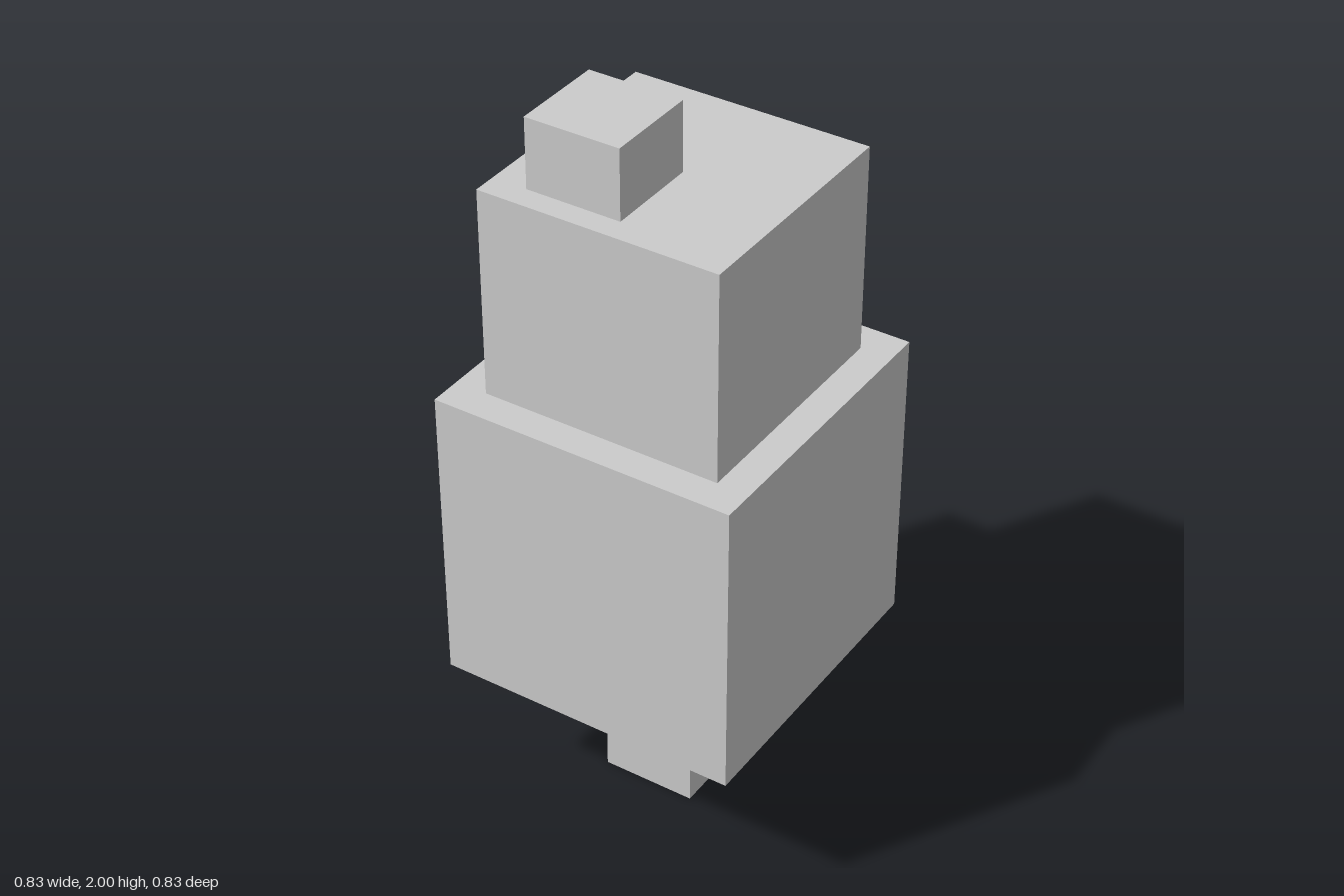
import * as THREE from 'three';

const material = new THREE.MeshStandardMaterial({ color: 0xcccccc, flatShading: true });

// Square block standing between two heights
function block(name, width, bottom, top, x = 0, z = 0) {
  const mesh = new THREE.Mesh(new THREE.BoxGeometry(width, top - bottom, width), material);
  mesh.name = name;
  mesh.position.set(x, (bottom + top) / 2, z);
  return mesh;
}

export function createModel() {
  const tree = new THREE.Group();
  tree.name = 'blockTree';
  tree.add(
    block('trunk', 0.26, 0, 0.413),
    block('lowerFoliage', 0.83, 0.413, 1.243),
    block('upperFoliage', 0.655, 1.243, 1.811),
    // Small tuft set off-centre towards the front right
    block('topFoliage', 0.258, 1.811, 2, -0.104, 0.135),
  );
  return tree;
}
